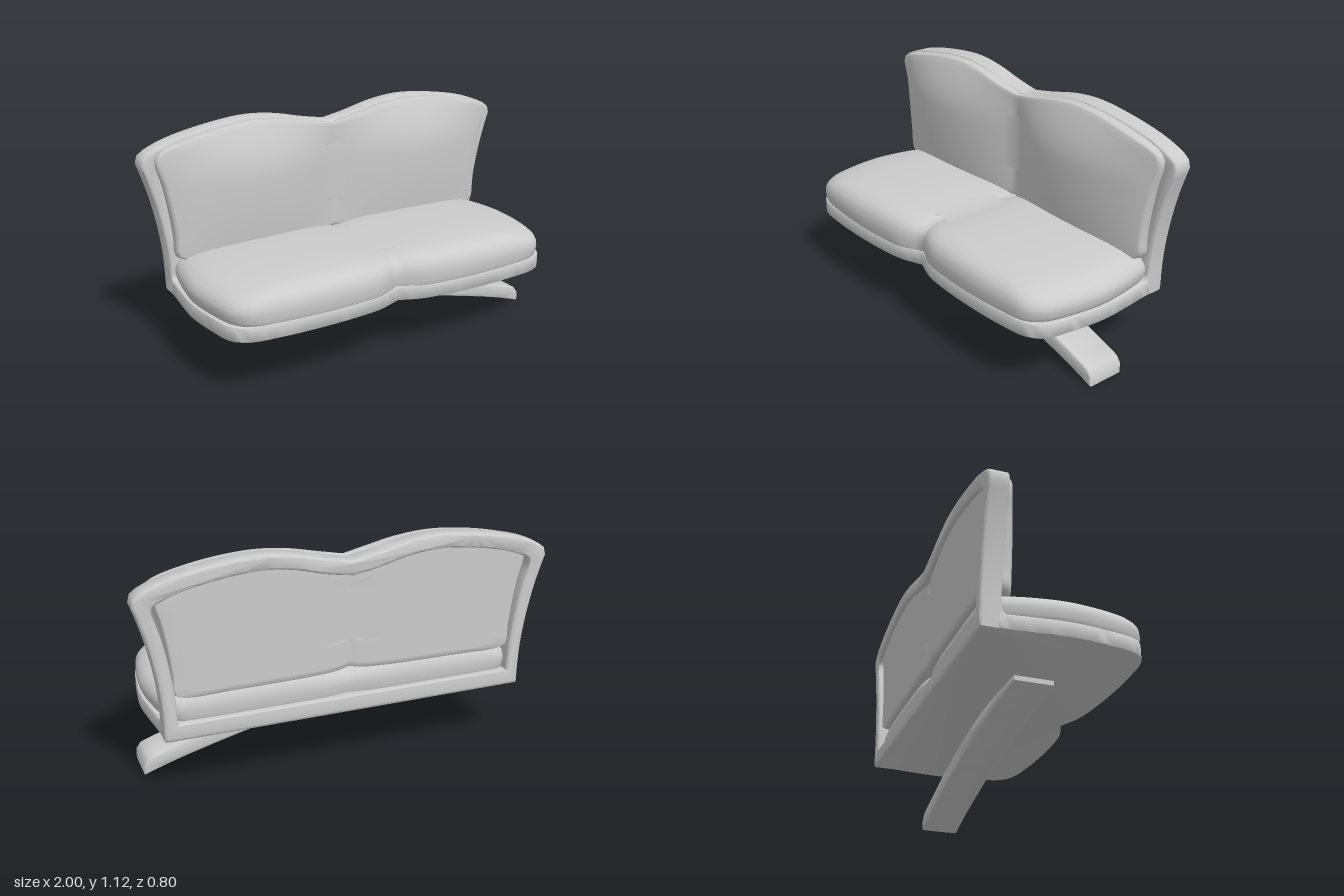
import * as THREE from 'three';
import { mergeVertices, toCreasedNormals } from 'three/addons/utils/BufferGeometryUtils.js';

const grey = new THREE.MeshStandardMaterial({ color: 0xcccccc });

// Smooth curve through 2D points, evenly sampled.
function smooth(points, n) {
  const curve = new THREE.CatmullRomCurve3(points.map(([x, y]) => new THREE.Vector3(x, y, 0)));
  return curve.getSpacedPoints(n).map((p) => new THREE.Vector2(p.x, p.y));
}

// Closed outline from its +x half; points on x = 0 are not doubled.
function mirrored(half, n = 44) {
  const right = smooth(half, n);
  const left = right.filter((p) => p.x > 1e-4).map((p) => new THREE.Vector2(-p.x, p.y)).reverse();
  return right.concat(left);
}

function extrude(shape, depth, bevel) {
  const geometry = new THREE.ExtrudeGeometry(shape, {
    depth: depth - 2 * bevel, bevelSize: bevel, bevelThickness: bevel, bevelOffset: -bevel, bevelSegments: 3,
  });
  geometry.translate(0, 0, bevel);
  return toCreasedNormals(geometry, 0.9);
}

// Closed skin over rings; at(ring, point) returns a position.
function skin(rings, outline, at) {
  const n = outline.length, position = [], index = [];
  rings.forEach((ring, i) => outline.forEach((p, j) => {
    position.push(...at(ring, p));
    if (i === 0) return;
    const a = (i - 1) * n + j, b = (i - 1) * n + ((j + 1) % n);
    index.push(a, b, b + n, a, b + n, a + n);
  }));
  const geometry = new THREE.BufferGeometry();
  geometry.setAttribute('position', new THREE.Float32BufferAttribute(position, 3));
  geometry.setIndex(index);
  const merged = mergeVertices(geometry, 1e-5);
  merged.computeVertexNormals();
  return merged;
}

// Rings shrink to a short seam on x = 0 instead of a point.
const seamScale = (s) => s + 0.45 * (1 - s) ** 2;

// Double-lobed swell across the width: 0 at the middle and the ends.
function lobe(x) {
  const wave = Math.sin(Math.PI * Math.min(1, Math.abs(x) / 0.93));
  return ((wave * wave + 0.005) ** 0.35 - 0.156) / 0.845;
}

function seatCushion() {
  const outline = mirrored([
    [0, 0.32], [0.05, 0.345], [0.12, 0.375], [0.25, 0.392], [0.45, 0.4], [0.65, 0.39], [0.8, 0.365],
    [0.86, 0.3], [0.895, 0.17], [0.915, 0], [0.905, -0.12], [0.885, -0.24], [0.865, -0.31], [0.82, -0.36],
    [0.75, -0.368], [0.4, -0.37], [0.1, -0.366], [0, -0.35],
  ], 60);
  // [scale, height, share of the top's shaping]
  const rings = [
    [0, 0.37, 0], [0.97, 0.37, 0], [0.985, 0.382, 0], [0.993, 0.4, 0], [1, 0.43, 0.1], [0.997, 0.455, 0.3],
    [0.985, 0.48, 0.5], [0.965, 0.5, 0.7], [0.93, 0.52, 0.9], [0.88, 0.533, 1], [0.8, 0.542, 1],
    [0.7, 0.547, 1], [0.55, 0.55, 1], [0.4, 0.551, 1], [0.25, 0.552, 1], [0.1, 0.552, 1], [0, 0.552, 1],
  ];
  const middle = 0.02;
  return skin(rings, outline, ([s, y, top], p) => {
    const x = p.x * s, z = middle + (p.y - middle) * seamScale(s);
    // Centre groove, falling front and rear, falling sides.
    const drop = 0.034 * Math.exp(-Math.abs(x) / 0.11) + 0.22 * Math.max(0, z - 0.12) ** 2
      + 0.1 * Math.min(0, z) ** 2 + 0.025 * x ** 4;
    return [x, y - top * drop, z];
  });
}

function backCushion() {
  const outline = mirrored([
    [0, 0.512], [0.06, 0.503], [0.2, 0.495], [0.6, 0.49], [0.82, 0.49], [0.865, 0.51], [0.87, 0.6],
    [0.885, 0.73], [0.91, 0.87], [0.935, 0.965], [0.93, 1.01], [0.89, 1.04], [0.8, 1.067], [0.6, 1.105], [0.43, 1.118],
    [0.28, 1.105], [0.12, 1.072], [0, 1.05],
  ], 70);
  // [scale, face: 0 back or 1 front, offset in z]
  const rings = [];
  for (let i = 0; i <= 10; i++) rings.push([0.095 * i, 0, 0]);
  rings.push([0.962, 0, 0.015], [0.965, 0, 0.06], [0.99, 0, 0.068], [1, 0, 0.08], [1, 1, -0.016], [0.992, 1, -0.005]);
  for (let i = 14; i >= 0; i--) rings.push([0.98 * i / 14, 1, 0]);
  const middle = 0.8;
  // Fullest at y = 0.85, leaning back to the top edge.
  const swell = (y) => (y > 0.85
    ? Math.cos(Math.min(1, (y - 0.85) / 0.28) * Math.PI / 2)
    : 1 - 0.25 * ((0.85 - y) / 0.32) ** 2);
  return skin(rings, outline, ([s, front, offset], p) => {
    const x = p.x * s, y = middle + (p.y - middle) * seamScale(s);
    const z = front ? -0.267 + 0.078 * lobe(x) * swell(y) : -0.378 + 0.018 * Math.exp(-Math.abs(x) / 0.05);
    return [x, y, z + offset];
  });
}

function backFrame() {
  const shape = new THREE.Shape(mirrored([
    [0.888, 0.31], [0.895, 0.5], [0.915, 0.65], [0.95, 0.81], [0.99, 0.94], [1, 0.975], [0.985, 1.003],
    [0.93, 1.035], [0.82, 1.072], [0.6, 1.112], [0.43, 1.125], [0.28, 1.11], [0.12, 1.073], [0, 1.05],
  ]));
  shape.holes.push(new THREE.Path(mirrored([
    [0.825, 0.385], [0.83, 0.5], [0.85, 0.66], [0.88, 0.81], [0.91, 0.91], [0.915, 0.945], [0.88, 0.968],
    [0.78, 1.005], [0.6, 1.04], [0.43, 1.055], [0.28, 1.04], [0.12, 1.0], [0, 0.98],
  ])));
  const geometry = extrude(shape, 0.097, 0.014);
  geometry.translate(0, 0, -0.4);
  return geometry;
}

// Curved transition from the base up into the frame, run across the width.
function frameFillet() {
  const shape = new THREE.Shape();
  shape.moveTo(0.27, 0.37);
  shape.lineTo(0.27, 0.38);
  shape.quadraticCurveTo(0.303, 0.38, 0.305, 0.42);
  shape.lineTo(0.33, 0.42);
  shape.lineTo(0.33, 0.37);
  const geometry = extrude(shape, 1.774, 0.004);
  geometry.rotateY(Math.PI / 2);
  geometry.translate(-0.887, 0, 0);
  return geometry;
}

function seatBase() {
  const outline = mirrored([
    [0, 0.325], [0.05, 0.345], [0.12, 0.37], [0.25, 0.387], [0.45, 0.395], [0.65, 0.388], [0.8, 0.365],
    [0.865, 0.31], [0.897, 0.17], [0.915, 0], [0.905, -0.15], [0.89, -0.29], [0.885, -0.397],
  ]);
  const shape = new THREE.Shape(outline.map((p) => new THREE.Vector2(p.x, -p.y)));
  const geometry = extrude(shape, 0.072, 0.006);
  geometry.rotateX(-Math.PI / 2);
  geometry.translate(0, 0.308, 0);
  return geometry;
}

function supportArm() {
  const top = smooth([
    [-0.49, 0.312], [-0.2, 0.312], [0, 0.3], [0.3, 0.25], [0.6, 0.18], [0.8, 0.12], [0.9, 0.086], [0.925, 0.073], [0.935, 0.05],
  ], 36);
  const bottom = smooth([[0.935, 0], [0.8, 0.045], [0.6, 0.1], [0.3, 0.172], [0, 0.23], [-0.25, 0.264], [-0.49, 0.285]], 24);
  const geometry = extrude(new THREE.Shape(top.concat(bottom)), 0.195, 0.008);
  geometry.translate(0, 0, -0.105);
  return geometry;
}

export function createModel() {
  const group = new THREE.Group();
  group.name = 'benchSeat';
  const parts = { seatBase, seatCushion, backFrame, frameFillet, backCushion, supportArm };
  for (const [name, build] of Object.entries(parts)) {
    const mesh = new THREE.Mesh(build(), grey);
    mesh.name = name;
    group.add(mesh);
  }
  return group;
}
